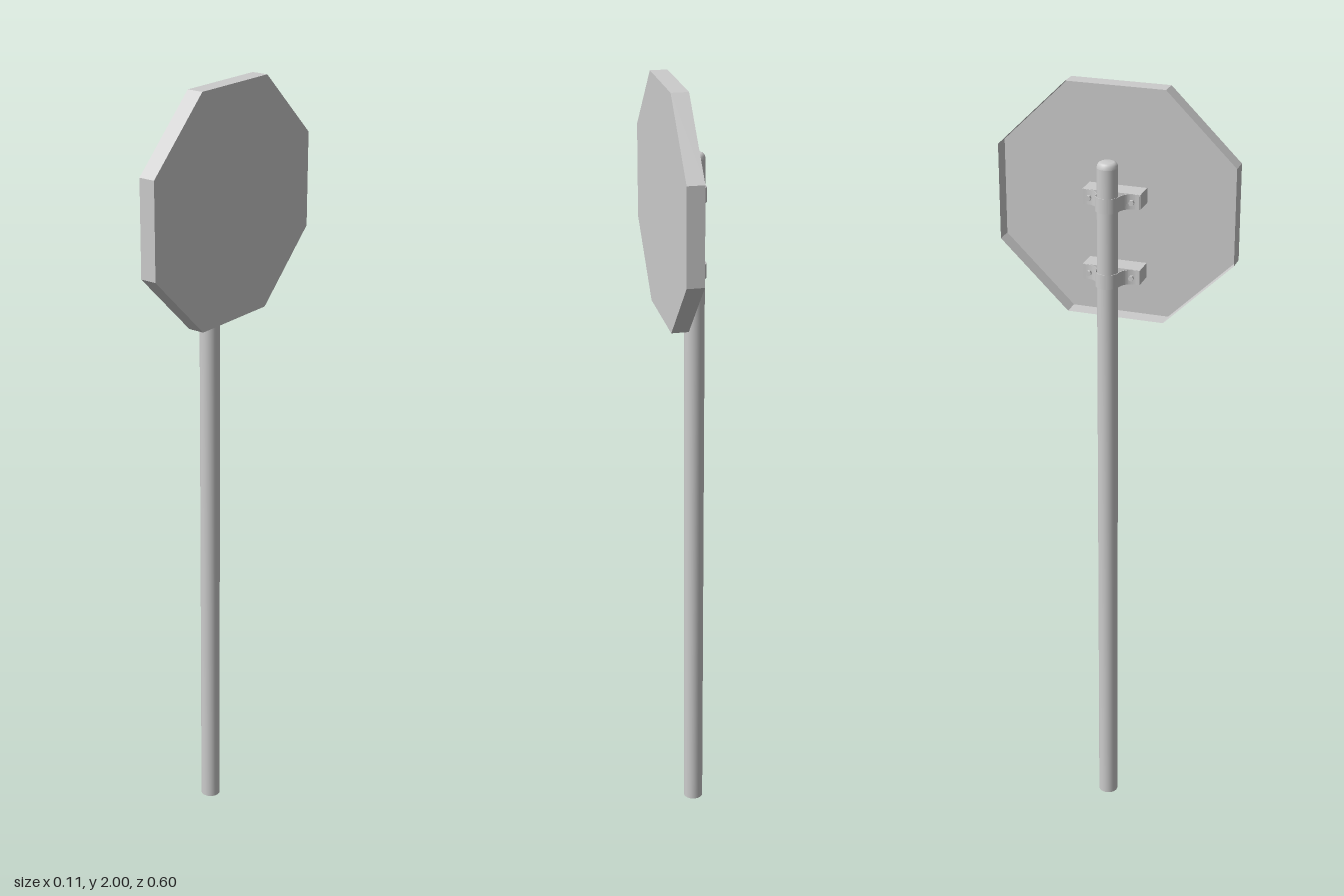
import * as THREE from 'three';

const POLE_X = -0.028, POLE_Z = -0.007;

export function createModel() {
  const model = new THREE.Group();
  const smooth = new THREE.MeshStandardMaterial({ color: 0xcccccc, side: THREE.DoubleSide });
  const flat = new THREE.MeshStandardMaterial({ color: 0xcccccc, side: THREE.DoubleSide, flatShading: true });

  const add = (parent, name, geometry, material, x = 0, y = 0, z = 0) => {
    const mesh = new THREE.Mesh(geometry, material);
    mesh.name = name;
    mesh.position.set(x, y, z);
    parent.add(mesh);
    return mesh;
  };

  // Hollow pole, open at the foot
  add(model, 'pole', new THREE.CylinderGeometry(0.0255, 0.0255, 1.815, 32, 1, true), smooth, POLE_X, 0.9075, POLE_Z);

  // Rounded pole cap
  const capProfile = [[0.0255, 0], [0.0245, 0.007], [0.021, 0.012], [0.016, 0.0145], [0, 0.015]]
    .map(([r, y]) => new THREE.Vector2(r, y));
  add(model, 'poleCap', new THREE.LatheGeometry(capProfile, 32), smooth, POLE_X, 1.815, POLE_Z);

  // Octagonal sign: a dish with a flat face on +x and an open back
  const sign = new THREE.Group();
  sign.name = 'sign';
  sign.position.set(0.033, 1.711, -0.001);
  sign.scale.z = 1.026;
  model.add(sign);
  const radius = 0.29 / Math.cos(Math.PI / 8), depth = 0.043;
  add(sign, 'signRim',
    new THREE.CylinderGeometry(radius, radius, depth, 8, 1, true, Math.PI / 8).rotateZ(-Math.PI / 2), flat);
  add(sign, 'signFace',
    new THREE.CircleGeometry(radius, 8, Math.PI / 8).rotateY(Math.PI / 2), flat, depth / 2);

  // Strap outline: flanges flaring into a loop round the pole
  const height = 0.037, thickness = 0.0015;
  const half = [[0.0265, -0.072], [0.0265, -0.058], [0.0225, -0.044], [0.013, -0.034]];
  const path = half.map(([x, z]) => new THREE.Vector3(x, z, 0));
  for (let i = 0; i <= 10; i++) {
    const a = -Math.PI / 2 - (Math.PI * i) / 10;
    path.push(new THREE.Vector3(Math.cos(a) * 0.0285, Math.sin(a) * 0.0285, 0));
  }
  [...half].reverse().forEach(([x, z]) => path.push(new THREE.Vector3(x, -z, 0)));
  const curve = new THREE.CatmullRomCurve3(path);
  const outer = [], inner = [];
  for (let i = 0; i <= 64; i++) {
    const p = curve.getPoint(i / 64), t = curve.getTangent(i / 64);
    const nx = t.y * thickness / 2, ny = -t.x * thickness / 2;
    outer.push(new THREE.Vector2(p.x + nx, p.y + ny));
    inner.unshift(new THREE.Vector2(p.x - nx, p.y - ny));
  }
  const strapGeometry = new THREE.ExtrudeGeometry(new THREE.Shape([...outer, ...inner]),
    { depth: height, bevelEnabled: false });
  strapGeometry.translate(0, 0, -height / 2).rotateX(Math.PI / 2);

  // Two clamps, each with a mounting bar, a strap and a pair of bolts
  for (const [name, y] of [['upperClamp', 1.728], ['lowerClamp', 1.537]]) {
    const clamp = new THREE.Group();
    clamp.name = name;
    clamp.position.set(0, y, POLE_Z);
    model.add(clamp);
    add(clamp, 'mountingBar', new THREE.BoxGeometry(0.054, height, 0.146), flat, 0.027);
    add(clamp, 'strap', strapGeometry, smooth, POLE_X);
    for (const side of [-1, 1]) {
      add(clamp, 'boltShaft', new THREE.CylinderGeometry(0.003, 0.003, 0.014, 12).rotateZ(Math.PI / 2),
        smooth, -0.007, 0, side * 0.054);
      add(clamp, 'boltNut', new THREE.CylinderGeometry(0.007, 0.007, 0.007, 6).rotateZ(Math.PI / 2),
        flat, -0.0105, 0, side * 0.054);
    }
  }
  return model;
}
